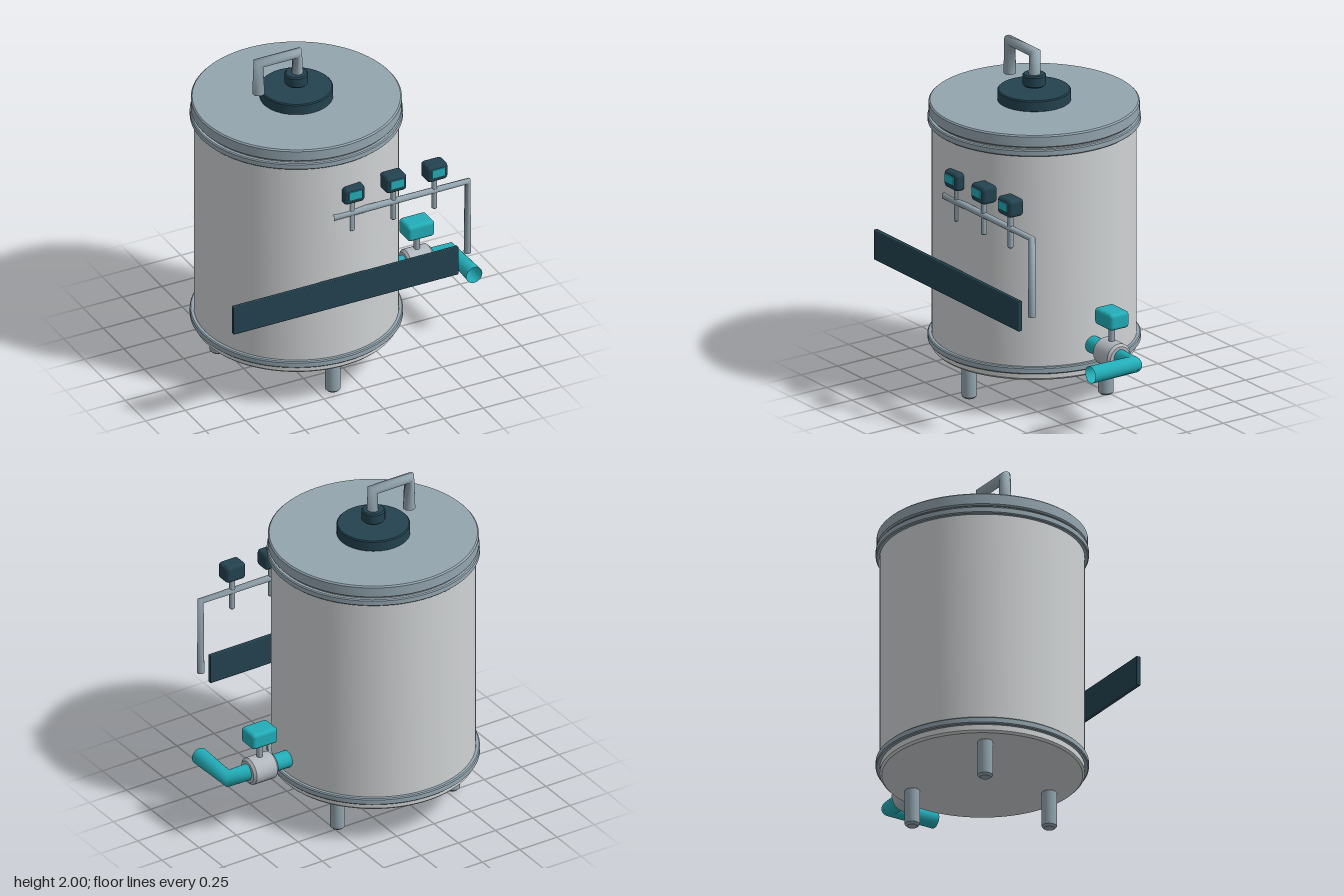
import * as THREE from 'three';
import { toCreasedNormals } from 'three/addons/utils/BufferGeometryUtils.js';
import { RoundedBoxGeometry } from 'three/addons/geometries/RoundedBoxGeometry.js';

const CX = -0.16, CZ = -0.012; // tank axis

// Straight-segment path; each ring at a bend is mitred to the mean direction.
class BentPath extends THREE.Curve {
  constructor(points) {
    super();
    this.points = points.map((p) => new THREE.Vector3(...p));
  }
  getPoint(t, target = new THREE.Vector3()) {
    const s = t * (this.points.length - 1);
    const i = Math.min(Math.floor(s), this.points.length - 2);
    return target.lerpVectors(this.points[i], this.points[i + 1], s - i);
  }
  getPointAt(t, target) { return this.getPoint(t, target); }
  getTangentAt(t, target = new THREE.Vector3()) {
    const last = this.points.length - 1;
    const i = Math.round(t * last);
    const dir = (a) => this.points[a + 1].clone().sub(this.points[a]).normalize();
    target.set(0, 0, 0);
    if (i > 0) target.add(dir(i - 1));
    if (i < last) target.add(dir(i));
    return target.normalize();
  }
}

// Solid round part with chamfered rims, from y0 to y1.
function drum(r, y0, y1, b, segments = 64) {
  const profile = [[0, y0], [r - b, y0], [r, y0 + b], [r, y1 - b], [r - b, y1], [0, y1]];
  const lathe = new THREE.LatheGeometry(profile.map((p) => new THREE.Vector2(...p)), segments);
  return toCreasedNormals(lathe, 0.5);
}

const pipe = (points, r) => new THREE.TubeGeometry(new BentPath(points), points.length - 1, r, 24, false);

export function createModel() {
  const model = new THREE.Group();
  model.name = 'tank';

  const material = (name, color, side = THREE.FrontSide) => {
    const m = new THREE.MeshStandardMaterial({ color, side });
    m.name = name;
    return m;
  };
  const shell = material('pale steel', 0xcfd2d3);
  const steel = material('blue grey steel', 0x93a5af, THREE.DoubleSide);
  const fitting = material('fitting grey', 0xb2b8bf);
  const dark = material('dark slate', 0x23424f);
  const teal = material('teal', 0x22adb8, THREE.DoubleSide);

  const add = (name, geometry, mat, x = 0, y = 0, z = 0, parent = model) => {
    const mesh = new THREE.Mesh(geometry, mat);
    mesh.name = name;
    mesh.position.set(x, y, z);
    parent.add(mesh);
    return mesh;
  };

  // Vessel, bands and lid
  add('tankBody', drum(0.577, 0.22, 1.63, 0.012, 96), shell, CX, 0, CZ);
  add('lowerBand', drum(0.6, 0.265, 0.305, 0.006, 96), steel, CX, 0, CZ);
  add('upperBand', drum(0.6, 1.57, 1.61, 0.006, 96), steel, CX, 0, CZ);
  add('lid', drum(0.594, 1.62, 1.695, 0.008, 96), steel, CX, 0, CZ);

  // Hatch, collar and bent handle on the lid
  add('hatch', drum(0.207, 1.69, 1.76, 0.006), dark, CX, 0, CZ);
  add('handleCollar', drum(0.067, 1.78, 1.85, 0.008, 32), dark, CX, 0, CZ);
  add('lidHandle', pipe([[-0.155, 1.78, CZ], [-0.155, 1.975, CZ], [-0.4, 1.975, CZ], [-0.4, 1.78, CZ]], 0.035), steel);

  // Three legs
  for (let i = 0; i < 3; i++) {
    const a = Math.PI / 2 + (i * Math.PI * 2) / 3;
    add('leg', drum(0.043, 0, 0.23, 0.012, 24), steel, CX + 0.445 * Math.cos(a), 0, CZ + 0.445 * Math.sin(a));
  }

  // Front plate
  add('frontPlate', new RoundedBoxGeometry(1.425, 0.18, 0.026, 2, 0.005), dark, -0.158, 0.735, 0.581);

  // Gauge line with three gauges
  const line = new THREE.Group();
  line.name = 'gaugeLine';
  line.position.z = 0.555;
  model.add(line);
  add('gaugePipe', pipe([[-0.225, 1.218, 0], [0.63, 1.218, 0], [0.63, 0.75, 0]], 0.021), steel, 0, 0, 0, line);
  for (const x of [-0.105, 0.16, 0.42]) {
    add('gaugeStem', drum(0.0165, 1.1, 1.32, 0.006, 16), steel, x, 0, 0, line);
    add('gaugeHousing', new RoundedBoxGeometry(0.13, 0.105, 0.1, 3, 0.022), dark, x, 1.353, 0, line);
    add('gaugeScreen', new THREE.BoxGeometry(0.084, 0.05, 0.008), teal, x, 1.36, 0.052, line);
  }

  // Outlet pipe and valve
  const outlet = new THREE.Group();
  outlet.name = 'outletValve';
  outlet.position.set(0, 0.4, CZ);
  model.add(outlet);
  add('outletPipe', pipe([[0.405, 0, 0], [0.6, 0, 0], [0.815, 0, 0], [0.815, 0, 0.295]], 0.05), teal, 0, 0, 0, outlet);
  add('valveBody', drum(0.08, -0.083, 0.083, 0.014, 32), fitting, 0.603, 0, 0, outlet).rotation.z = Math.PI / 2;
  add('valveStem', drum(0.018, 0.06, 0.19, 0.003, 16), steel, 0.603, 0, 0, outlet);
  add('valveHandle', new RoundedBoxGeometry(0.17, 0.1, 0.13, 3, 0.022), teal, 0.603, 0.218, 0, outlet);

  return model;
}
